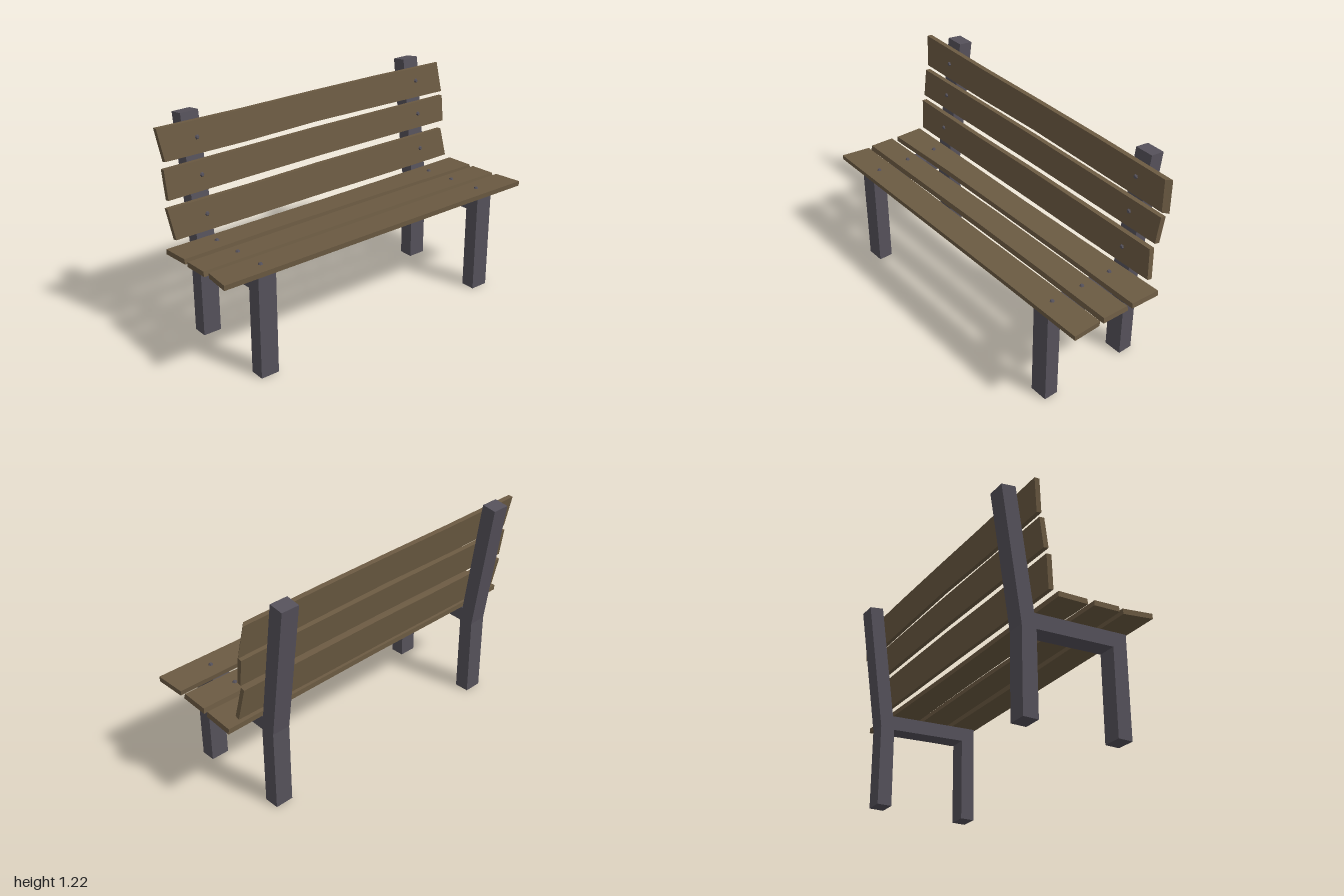
import * as THREE from 'three';

const wood = new THREE.MeshStandardMaterial({ color: 0x6b5a42, flatShading: true });
const metal = new THREE.MeshStandardMaterial({ color: 0x55515a, flatShading: true });
const THICK = 0.028;

// A rough-cut board lofted along z. Each row is a section: [u0, z0, u1, z1],
// the positions of its two long edges. inset narrows the top face, bevel slants the -z end.
function plankGeometry(rows, inset, bevel) {
  const rings = rows.map(([u0, z0, u1, z1], i) => {
    const b = i === 0 ? bevel : 0;
    return [
      [u0, 0, z0], [u1, 0, z1],
      [u1 - inset, THICK, z1 + b], [u0 + inset, THICK, z0 + b],
    ];
  });
  const pos = [];
  const quad = (a, b, c, d) => pos.push(...a, ...b, ...c, ...a, ...c, ...d);
  for (let i = 0; i < rings.length - 1; i++) {
    const p = rings[i], q = rings[i + 1];
    for (let k = 0; k < 4; k++) {
      const n = (k + 1) % 4;
      quad(p[k], p[n], q[n], q[k]);
    }
  }
  const [a, b, c, d] = rings[0];
  quad(d, c, b, a);
  quad(...rings[rings.length - 1]);
  const geo = new THREE.BufferGeometry();
  geo.setAttribute('position', new THREE.Float32BufferAttribute(pos, 3));
  geo.computeVertexNormals();
  return geo;
}

// Board sections from the -z end to the +z end, u measured from the seat/back corner
const seatPlanks = [
  { rows: [[0, -1, 0.178, -0.995], [0.006, -0.5, 0.17, -0.5], [0.01, 0, 0.166, 0], [0.008, 0.5, 0.166, 0.5], [0.008, 0.985, 0.178, 0.98]], inset: 0.002, bevel: 0.004 },
  { rows: [[0.203, -0.992, 0.368, -0.99], [0.2, -0.5, 0.36, -0.5], [0.198, 0, 0.357, 0], [0.204, 0.5, 0.36, 0.5], [0.21, 0.985, 0.362, 0.985]], inset: 0.005, bevel: 0.004 },
  { rows: [[0.396, -0.99, 0.561, -0.998], [0.396, -0.5, 0.556, -0.5], [0.396, 0, 0.554, 0], [0.39, 0.5, 0.553, 0.5], [0.39, 0.975, 0.552, 0.995]], inset: -0.003, bevel: 0 },
];
const backSlats = [
  { rows: [[-0.626, -0.94, -0.452, -0.96], [-0.635, -0.45, -0.462, -0.45], [-0.638, 0, -0.47, 0], [-0.638, 0.45, -0.464, 0.45], [-0.645, 0.955, -0.468, 0.93]], inset: 0.002, bevel: 0.025 },
  { rows: [[-0.428, -0.942, -0.275, -0.938], [-0.433, -0.45, -0.278, -0.45], [-0.437, 0, -0.28, 0], [-0.436, 0.45, -0.277, 0.45], [-0.434, 0.945, -0.272, 0.942]], inset: 0.001, bevel: 0.004 },
  { rows: [[-0.233, -0.915, -0.062, -0.94], [-0.236, -0.45, -0.06, -0.45], [-0.238, 0, -0.062, 0], [-0.233, 0.45, -0.06, 0.45], [-0.234, 0.955, -0.06, 0.93]], inset: 0.002, bevel: 0.003 },
];

// A row of boards with two bolts each, tilted about the seat/back corner
function boards(name, planks, angle) {
  const group = new THREE.Group();
  group.name = name;
  group.position.set(-0.195, 0.542, 0);
  group.rotation.z = angle;
  const boltGeo = new THREE.CylinderGeometry(0.008, 0.014, 0.009, 6);
  planks.forEach(({ rows, inset, bevel }, i) => {
    const plank = new THREE.Mesh(plankGeometry(rows, inset, bevel), wood);
    plank.name = `${name}Plank${i + 1}`;
    group.add(plank);
    for (const z of [-0.74, 0.735]) {
      const bolt = new THREE.Mesh(boltGeo, metal);
      bolt.name = 'bolt';
      bolt.position.set((rows[2][0] + rows[2][2]) / 2, THICK + 0.0035, z);
      group.add(bolt);
    }
  });
  return group;
}

export function createModel() {
  const model = new THREE.Group();
  model.name = 'bench';

  // Side frames: rear leg with leaning back post, seat rail and front leg in one outline
  const outline = new THREE.Shape([
    [-0.27, 0], [-0.185, 0], [-0.185, 0.457], [0.265, 0.479], [0.265, 0], [0.347, 0],
    [0.347, 0.565], [-0.196, 0.54], [-0.29, 1.22], [-0.372, 1.208], [-0.268, 0.465],
  ].map(([x, y]) => new THREE.Vector2(x, y)));
  for (const [name, z] of [['leftFrame', -0.736], ['rightFrame', 0.745]]) {
    const geo = new THREE.ExtrudeGeometry(outline, { depth: 0.104, bevelEnabled: false });
    geo.translate(0, 0, z - 0.052);
    const frame = new THREE.Mesh(geo, metal);
    frame.name = name;
    model.add(frame);
  }

  model.add(boards('seat', seatPlanks, 0.046));
  model.add(boards('backrest', backSlats, -1.433));
  return model;
}
